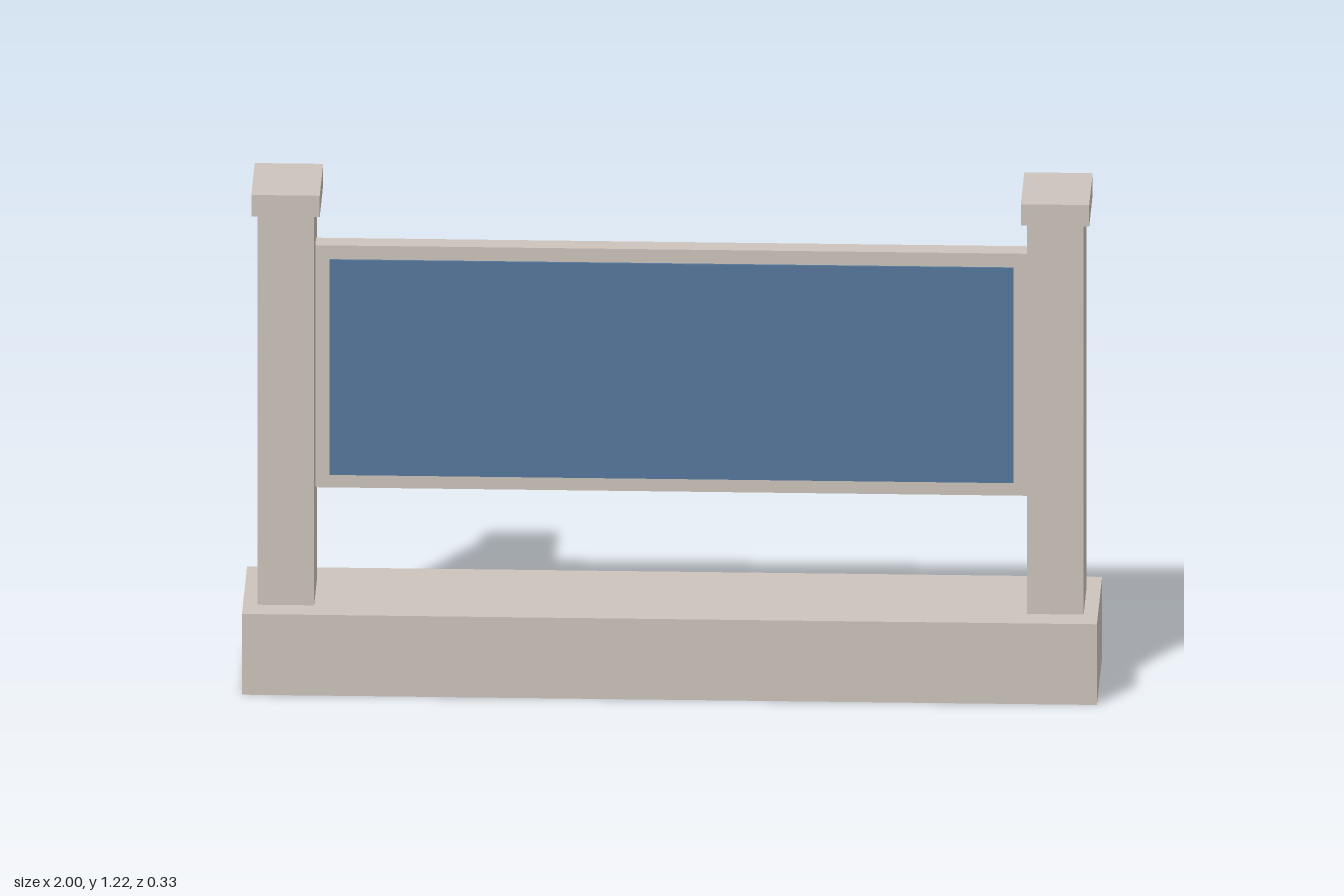
import * as THREE from 'three';

export function createModel() {
  const model = new THREE.Group();
  model.name = 'monumentSign';

  const stone = new THREE.MeshStandardMaterial({ color: 0xcbc3bb });
  stone.name = 'warm stone';
  const blue = new THREE.MeshStandardMaterial({ color: 0x55779b });
  blue.name = 'sign blue';

  // Box with its bottom at height y
  function addBox(name, material, width, height, depth, x, y, z = 0) {
    const mesh = new THREE.Mesh(new THREE.BoxGeometry(width, height, depth), material);
    mesh.name = name;
    mesh.position.set(x, y + height / 2, z);
    model.add(mesh);
  }

  addBox('base', stone, 2, 0.2, 0.333, 0, 0);

  // Posts with overhanging caps
  for (const [side, label] of [[1, 'left'], [-1, 'right']]) {
    addBox(label + 'Post', stone, 0.133, 0.967, 0.2, side * 0.9, 0.2);
    addBox(label + 'Cap', stone, 0.16, 0.053, 0.224, side * 0.9, 1.167);
  }

  // Sign board between the posts
  addBox('signBoard', stone, 1.667, 0.6, 0.053, 0, 0.467);

  // Thin coloured plates on both faces
  addBox('frontPanel', blue, 1.6, 0.533, 0.006, 0, 0.5, 0.0295);
  addBox('backPanel', blue, 1.6, 0.533, 0.006, 0, 0.5, -0.0295);

  return model;
}
